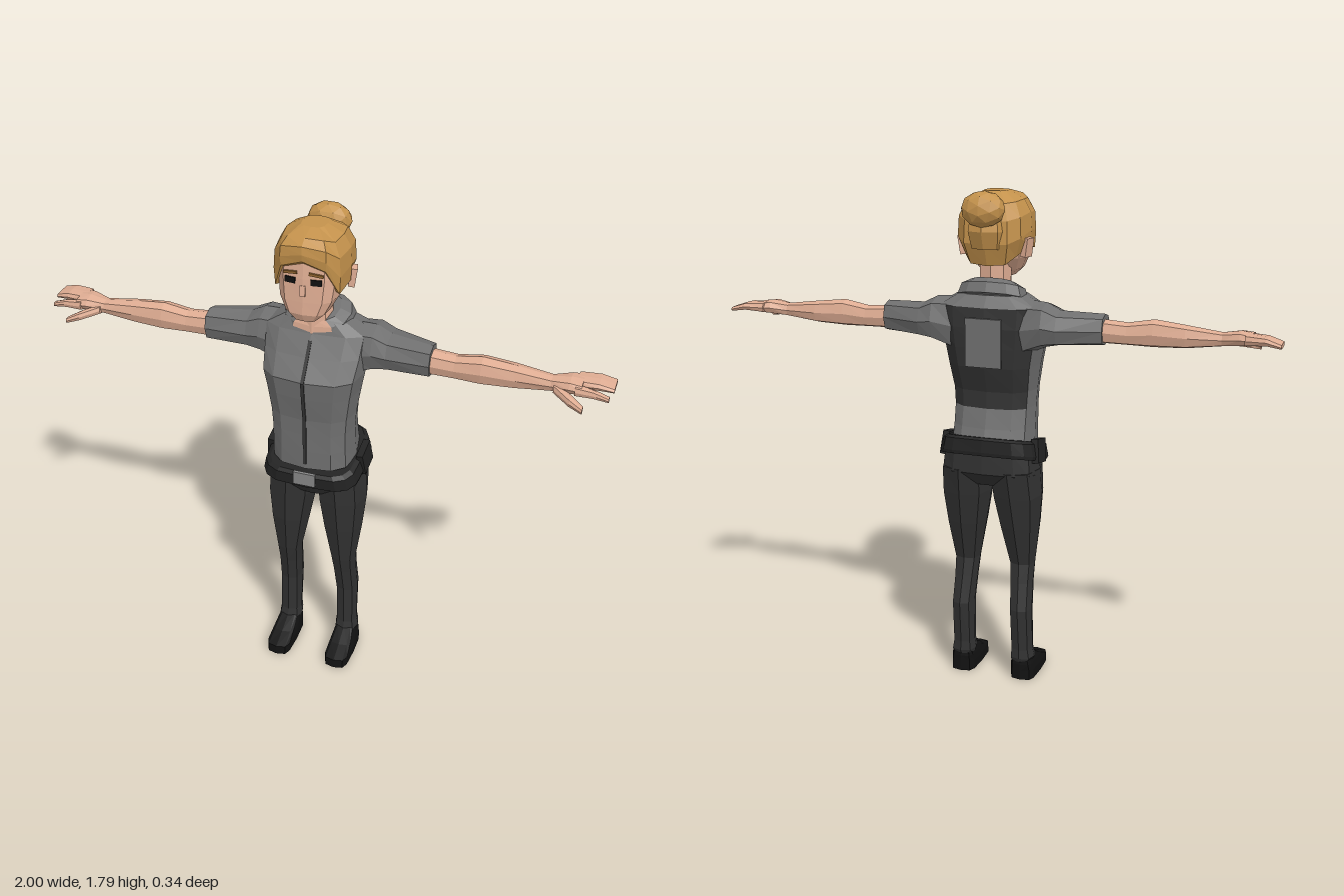
import * as THREE from 'three';

const mat = (name, color, side = THREE.FrontSide) => {
  const m = new THREE.MeshStandardMaterial({ color, flatShading: true, side });
  m.name = name;
  return m;
};
const skin = mat('skin', 0xdfad93);
const hair = mat('hair', 0xc4924c);
const brow = mat('brow', 0x8f642f);
const shirt = mat('shirt grey', 0x707070);
const dark = mat('dark cloth', 0x333333);
const trouser = mat('trousers', 0x323232);
const leather = mat('belt leather', 0x232323);
const shoe = mat('shoe black', 0x121212);
const metal = mat('buckle', 0x868686);
const black = mat('eye black', 0x101010);

// Rounded-box loop of n points filling the range a0..a1 by b0..b1
function loop(n, e, a0, a1, b0, b1) {
  const pow = v => Math.sign(v) * Math.pow(Math.abs(v) < 1e-6 ? 0 : Math.abs(v), e);
  return Array.from({ length: n }, (_, j) => {
    const t = (j / n) * Math.PI * 2;
    return [(a0 + a1) / 2 + pow(Math.cos(t)) * (a1 - a0) / 2, (b0 + b1) / 2 + pow(Math.sin(t)) * (b1 - b0) / 2];
  });
}
// Horizontal section [y, x0, x1, z0, z1]; tilt lowers the front
const level = (n, e, tilt = 0) => ([y, x0, x1, z0, z1]) =>
  loop(n, e, x0, x1, z0, z1).map(([x, z]) => [x, y - tilt * z, z]);
// Upright section across an arm [x, y0, y1, z0, z1]
const across = (n, e) => ([x, y0, y1, z0, z1]) =>
  loop(n, e, y0, y1, z0, z1).map(([y, z]) => [x, y, z]);
// Symmetric section [y, halfWidth, z0, z1]
const sym = ([y, w, z0, z1]) => [y, -w, w, z0, z1];

// Closed skin over a list of loops; pick(row, column) chooses the material
function loft(name, rings, mats, s = 1, pick = () => 0) {
  const list = [].concat(mats), buckets = list.map(() => []);
  const n = rings[0].length, last = rings.length - 1;
  const mid = r => [0, 1, 2].map(k => r.reduce((a, p) => a + p[k], 0) / n);
  const c0 = mid(rings[0]), c1 = mid(rings[last]);
  for (let j = 0; j < n; j++) {
    const k = (j + 1) % n;
    for (let i = 0; i < last; i++) {
      const [a, b, c, d] = [rings[i][j], rings[i][k], rings[i + 1][k], rings[i + 1][j]];
      buckets[pick(i, j)].push([a, b, c], [a, c, d]);
    }
    buckets[0].push([c0, rings[0][k], rings[0][j]], [c1, rings[last][j], rings[last][k]]);
  }
  const v = p => new THREE.Vector3(p[0] * s, p[1], p[2]), origin = v(c0);
  let volume = 0;
  for (const [a, b, c] of buckets.flat())
    volume += v(a).sub(origin).dot(v(b).sub(origin).cross(v(c).sub(origin)));
  const pos = [], geo = new THREE.BufferGeometry();
  buckets.forEach((tris, m) => {
    geo.addGroup(pos.length / 3, tris.length * 3, m);
    for (const [a, b, c] of tris)
      for (const p of volume > 0 ? [a, b, c] : [a, c, b]) pos.push(p[0] * s, p[1], p[2]);
  });
  geo.setAttribute('position', new THREE.Float32BufferAttribute(pos, 3));
  geo.computeVertexNormals();
  const mesh = new THREE.Mesh(geo, list.length > 1 ? list : list[0]);
  mesh.name = name;
  return mesh;
}

function box(name, m, w, h, d, x, y, z, rx = 0, ry = 0, rz = 0) {
  const mesh = new THREE.Mesh(new THREE.BoxGeometry(w, h, d), m);
  mesh.name = name;
  mesh.position.set(x, y, z);
  mesh.rotation.set(rx, ry, rz);
  return mesh;
}

function makeTorso() {
  const g = new THREE.Group();
  g.name = 'torso';
  const rows = [
    [0.90, 0.148, -0.125, 0.148], [0.97, 0.146, -0.10, 0.148], [1.04, 0.146, -0.082, 0.147],
    [1.10, 0.150, -0.08, 0.148], [1.19, 0.163, -0.108, 0.162], [1.26, 0.176, -0.116, 0.17],
    [1.33, 0.185, -0.118, 0.12], [1.40, 0.19, -0.11, 0.075], [1.44, 0.12, -0.08, 0.06],
  ].map(sym);
  // Dark upper back
  g.add(loft('shirtBody', rows.map(level(12, 0.7)), [shirt, dark], 1,
    (i, j) => (i >= 2 && i <= 6 && j >= 7 && j <= 10 ? 1 : 0)));
  g.add(box('backPanel', shirt, 0.13, 0.17, 0.009, 0, 1.28, -0.116));
  // Button placket following the chest
  const strip = [[0.92, 0.148], [1.1, 0.148], [1.19, 0.162], [1.26, 0.17], [1.33, 0.12], [1.38, 0.086]];
  g.add(loft('placket', strip.map(([y, z]) => level(8, 0.1)([y, -0.006, 0.006, z - 0.006, z + 0.003])), dark));
  // Collar, open at the throat
  const collar = [[1.415, 0.128, -0.095, 0.075], [1.455, 0.115, -0.08, 0.072], [1.475, 0.078, -0.06, 0.066]];
  g.add(loft('collar', collar.map(sym).map(level(12, 0.8, 0.4)), [shirt, skin], 1,
    (i, j) => (j === 2 || j === 3 ? 1 : 0)));
  // Belt, buckle and side pouches
  const belt = [[0.848, 0.178, -0.138, 0.135], [0.86, 0.18, -0.14, 0.152], [0.905, 0.17, -0.135, 0.155], [0.915, 0.155, -0.125, 0.145]];
  g.add(loft('belt', belt.map(sym).map(level(16, 0.5, 0.25)), leather));
  g.add(box('buckle', metal, 0.08, 0.05, 0.012, 0, 0.86, 0.155));
  for (const s of [-1, 1]) g.add(box('beltPouch', leather, 0.025, 0.085, 0.09, s * 0.17, 0.885, -0.01, 0.2, 0, s * 0.1));
  return g;
}

function makeArm(s) {
  const g = new THREE.Group();
  g.name = s > 0 ? 'leftArm' : 'rightArm';
  const part = (name, rows, m, n = 8, e = 0.75) => g.add(loft(name, rows.map(across(n, e)), m, s));
  part('sleeve', [[0.12, 1.23, 1.425, -0.10, 0.06], [0.20, 1.265, 1.42, -0.112, 0.058],
    [0.25, 1.275, 1.395, -0.105, 0.052], [0.40, 1.28, 1.388, -0.055, 0.05]], shirt);
  part('forearm', [[0.37, 1.288, 1.372, -0.045, 0.038], [0.48, 1.287, 1.364, -0.042, 0.036],
    [0.57, 1.285, 1.38, -0.043, 0.043], [0.68, 1.29, 1.368, -0.042, 0.036],
    [0.80, 1.305, 1.352, -0.03, 0.03], [0.86, 1.312, 1.362, -0.05, 0.045], [0.90, 1.317, 1.357, -0.062, 0.048]], skin);
  part('fingers', [[0.88, 1.32, 1.357, -0.063, 0.015], [0.95, 1.327, 1.354, -0.075, 0.01], [1.0, 1.322, 1.338, -0.082, 0]], skin, 8, 0.5);
  part('indexFinger', [[0.88, 1.316, 1.352, 0.012, 0.05], [0.94, 1.317, 1.345, 0.02, 0.047], [0.99, 1.312, 1.328, 0.022, 0.045]], skin);
  part('thumb', [[0.81, 1.308, 1.34, -0.005, 0.04], [0.87, 1.294, 1.325, 0.04, 0.085], [0.915, 1.285, 1.305, 0.07, 0.1]], skin);
  return g;
}

function makeLeg(s) {
  const g = new THREE.Group();
  g.name = s > 0 ? 'leftLeg' : 'rightLeg';
  const leg = [
    [0.07, 0.075, 0.152, -0.05, 0.034], [0.085, 0.07, 0.16, -0.056, 0.04], [0.12, 0.074, 0.153, -0.054, 0.033],
    [0.28, 0.072, 0.152, -0.07, 0.033], [0.38, 0.066, 0.15, -0.048, 0.05], [0.45, 0.06, 0.152, -0.035, 0.066],
    [0.60, 0.03, 0.172, -0.08, 0.087], [0.72, 0.008, 0.183, -0.11, 0.095], [0.82, 0.003, 0.178, -0.132, 0.1],
  ];
  g.add(loft('trouserLeg', leg.map(level(8, 0.75)), trouser, s));
  const foot = [[0, 0.07, 0.165, -0.05, 0.167], [0.035, 0.07, 0.165, -0.05, 0.165], [0.06, 0.073, 0.16, -0.05, 0.1], [0.095, 0.08, 0.15, -0.045, 0.03]];
  g.add(loft('shoe', foot.map(level(12, 0.5)), shoe, s));
  return g;
}

function makeHead() {
  const g = new THREE.Group();
  g.name = 'head';
  g.add(loft('neck', [[1.4, 0.065, -0.045, 0.075], [1.48, 0.056, -0.042, 0.07], [1.58, 0.058, -0.04, 0.08]]
    .map(sym).map(level(8, 0.8)), skin));
  const face = [
    [1.487, 0.04, 0.07, 0.15], [1.515, 0.072, 0.01, 0.162], [1.56, 0.096, -0.03, 0.16],
    [1.64, 0.106, -0.07, 0.155], [1.70, 0.104, -0.07, 0.148], [1.76, 0.06, -0.04, 0.1],
  ];
  g.add(loft('face', face.map(sym).map(level(12, 0.6)), skin));
  g.add(box('nose', skin, 0.02, 0.035, 0.014, 0, 1.6, 0.155, -0.2));
  for (const s of [-1, 1]) {
    g.add(box('eye', black, 0.036, 0.02, 0.008, s * 0.044, 1.632, 0.15, 0, s * 0.13));
    g.add(box('eyebrow', brow, 0.048, 0.009, 0.009, s * 0.044, 1.658, 0.149, 0, s * 0.13, -s * 0.12));
    g.add(box('ear', skin, 0.022, 0.065, 0.04, s * 0.118, 1.6, 0.0, 0, s * 0.3, -s * 0.15));
  }
  // Hair shell: each column hangs to its own length from the crown
  const half = [1.54, 1.545, 1.57, 1.60, 1.585, 1.675, 1.705]; // nape to forehead
  const hem = j => half[Math.abs(((j + 3) % 12) - 6) === 6 ? 0 : 6 - Math.abs(((j + 9) % 12) > 6 ? 12 - ((j + 9) % 12) : (j + 9) % 12)];
  const steps = [[0, 0.97], [0.3, 1], [0.62, 0.97], [0.85, 0.78], [1, 0.34]];
  const rings = steps.map(([t, r]) => loop(12, 0.68, -0.125, 0.125, -0.105, 0.166).map(([x, z], j) => {
    const low = hem(j), k = t === 0 && z < 0 ? 0.8 : r;
    return [x * k, low + (1.787 - low) * t, 0.03 + (z - 0.03) * k];
  }));
  g.add(loft('hair', rings, hair));
  // Tied bun with its base
  const bun = new THREE.Mesh(new THREE.IcosahedronGeometry(1, 1), hair);
  bun.name = 'hairBun';
  bun.scale.set(0.078, 0.062, 0.055);
  bun.position.set(0, 1.735, -0.113);
  bun.rotation.x = 0.3;
  g.add(bun);
  g.add(loft('bunBase', [[1.6, 0.06, -0.115, 0], [1.66, 0.07, -0.135, 0], [1.73, 0.06, -0.12, 0]]
    .map(sym).map(level(8, 0.8)), hair));
  return g;
}

export function createModel() {
  const model = new THREE.Group();
  model.name = 'figure';
  model.add(makeTorso(), makeHead());
  const hips = [[0.755, 0.12, -0.10, 0.08], [0.80, 0.178, -0.135, 0.105], [0.88, 0.17, -0.132, 0.135]];
  model.add(loft('hips', hips.map(sym).map(level(12, 0.65, 0.1)), trouser));
  for (const s of [-1, 1]) model.add(makeArm(s), makeLeg(s));
  return model;
}
